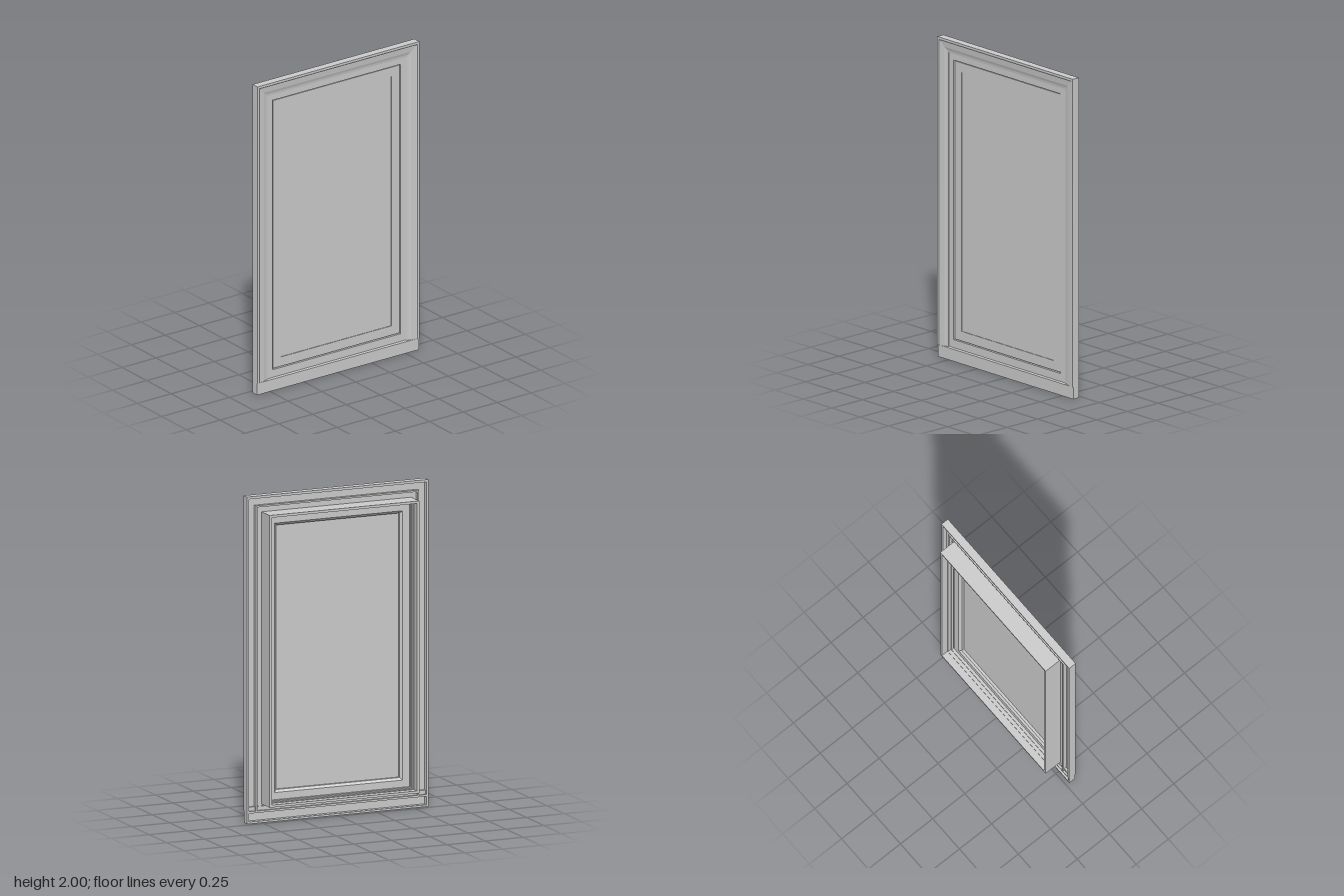
import * as THREE from 'three';

const material = new THREE.MeshStandardMaterial({ color: 0xcccccc, flatShading: true, side: THREE.DoubleSide });

function addMesh(group, name, geometry, x = 0, y = 0, z = 0) {
  const mesh = new THREE.Mesh(geometry, material);
  mesh.name = name;
  mesh.position.set(x, y, z);
  group.add(mesh);
}

// Sweep a closed [inset, z] profile with mitred corners round a rectangle.
// With open = true only the two sides and the top are made.
function mitredFrame(profile, halfWidth, bottom, top, open) {
  const corner = (k, [d, z]) => {
    const x = halfWidth - d;
    const low = open ? bottom : bottom + d;
    return [[-x, low, z], [-x, top - d, z], [x, top - d, z], [x, low, z]][k % 4];
  };
  const positions = [];
  for (let k = 0; k < (open ? 3 : 4); k++) {
    profile.forEach((p, i) => {
      const q = profile[(i + 1) % profile.length];
      const a = corner(k, p), b = corner(k + 1, p);
      const c = corner(k + 1, q), e = corner(k, q);
      positions.push(...a, ...c, ...b, ...a, ...e, ...c);
    });
  }
  const geometry = new THREE.BufferGeometry();
  geometry.setAttribute('position', new THREE.Float32BufferAttribute(positions, 3));
  geometry.computeVertexNormals();
  return geometry;
}

export function createModel() {
  const group = new THREE.Group();
  group.name = 'window';

  // Outer casing: raised rim, gently sloping face, grooved back
  addMesh(group, 'casing', mitredFrame([
    [0, 0.023], [0, 0.073], [0.015, 0.073], [0.02, 0.069], [0.055, 0.065], [0.07, 0.06],
    [0.084, 0.058], [0.084, 0.048], [0.07, 0.048], [0.07, 0.026], [0.06, 0.026],
    [0.06, 0.05], [0.015, 0.05], [0.015, 0.023],
  ], 0.597, 0.075, 2, true));

  // Jamb box with front flange and a small stop behind the sash
  addMesh(group, 'jambFrame', mitredFrame([
    [-0.03, 0.055], [0.02, 0.055], [0.02, 0.008], [0.027, 0.008], [0.027, -0.008],
    [0.02, -0.008], [0.02, -0.03], [0.015, -0.03], [0.015, -0.073],
    [0, -0.073], [0, 0.042], [-0.03, 0.042],
  ], 0.492, 0.11, 1.897, false));

  // Sash, set in the jamb with a narrow gap around it
  addMesh(group, 'sash', mitredFrame([
    [0, 0.05], [0.06, 0.05], [0.06, 0.022], [0.045, 0.01], [0, 0.01],
  ], 0.466, 0.135, 1.872, false));

  // Pane, close behind the sash front
  addMesh(group, 'pane', new THREE.BoxGeometry(0.82, 1.626, 0.008), 0, 1.0035, 0.042);

  // Sill: channel section open to the back, with an upstand under the frame
  const section = new THREE.Shape([
    [0.023, 0], [0.068, 0], [0.068, 0.075], [0.052, 0.079], [0.052, 0.1], [0.035, 0.1],
    [0.035, 0.075], [0.023, 0.075], [0.023, 0.063], [0.053, 0.063], [0.053, 0.012], [0.023, 0.012],
  ].map(([z, y]) => new THREE.Vector2(-z, y)));
  const sill = new THREE.ExtrudeGeometry(section, { depth: 1.194, bevelEnabled: false });
  sill.rotateY(Math.PI / 2);
  addMesh(group, 'sill', sill, -0.597);

  // End caps closing the sill channel
  for (const side of [-1, 1]) {
    addMesh(group, 'sillEndCap', new THREE.BoxGeometry(0.012, 0.055, 0.03), side * 0.591, 0.0375, 0.038);
  }

  return group;
}
